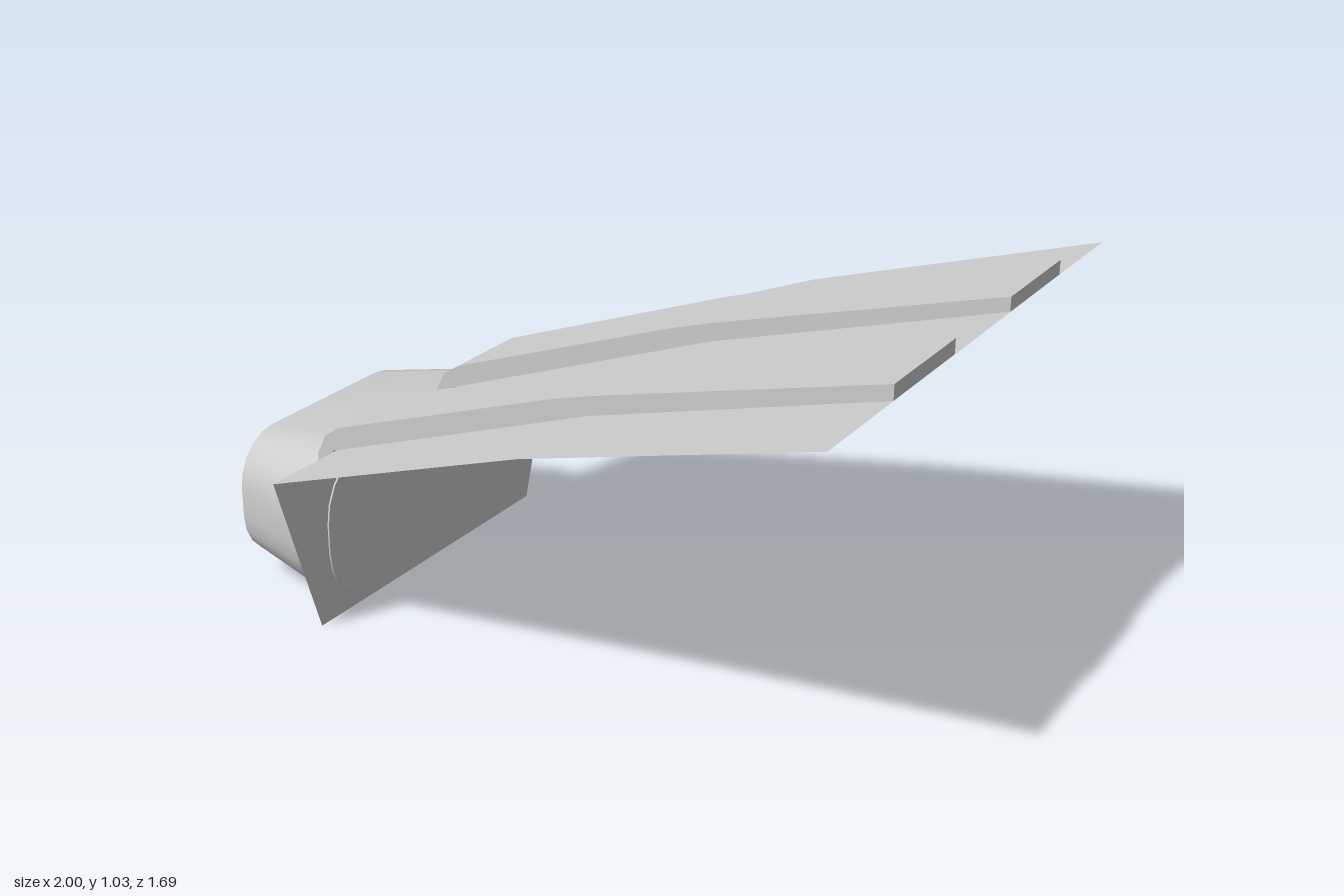
import * as THREE from 'three';
import { toCreasedNormals } from 'three/addons/utils/BufferGeometryUtils.js';

const material = new THREE.MeshStandardMaterial({ color: 0xcccccc });
const sheetMaterial = new THREE.MeshStandardMaterial({ color: 0xcccccc, side: THREE.DoubleSide });

// Rounded rectangle in the zy plane, as [z, y] offsets from its centre
function roundedRing(halfZ, halfY, r, steps = 5) {
  const points = [];
  for (let q = 0; q < 4; q++) {
    const sz = q === 0 || q === 3 ? 1 : -1;
    const sy = q < 2 ? 1 : -1;
    for (let i = 0; i <= steps; i++) {
      const a = (q + i / steps) * Math.PI / 2;
      points.push([sz * (halfZ - r) + r * Math.cos(a), sy * (halfY - r) + r * Math.sin(a)]);
    }
  }
  return points;
}

// Closed body from rounded sections [x, halfZ, halfY, radius]
function loft(sections, centreY) {
  const rings = sections.map(([x, hz, hy, r]) =>
    roundedRing(hz, hy, r).map(([z, y]) => [x, centreY + y, z]));
  const n = rings[0].length;
  const index = [];
  for (let i = 0; i < rings.length - 1; i++) {
    for (let j = 0; j < n; j++) {
      const k = (j + 1) % n;
      const a = i * n + j, b = i * n + k, c = a + n, d = b + n;
      index.push(a, b, c, b, d, c);
    }
  }
  const g = new THREE.BufferGeometry();
  g.setAttribute('position', new THREE.Float32BufferAttribute(rings.flat(2), 3));
  g.setIndex(index);
  return toCreasedNormals(g, 0.6);
}

// Thin sheet through straight rows [x, y, halfZ]
function sheet(rows) {
  const position = [], index = [];
  rows.forEach(([x, y, h], i) => {
    position.push(x, y, h, x, y, -h);
    if (i > 0) {
      const a = 2 * i - 2;
      index.push(a, a + 2, a + 1, a + 1, a + 2, a + 3);
    }
  });
  const g = new THREE.BufferGeometry();
  g.setAttribute('position', new THREE.Float32BufferAttribute(position, 3));
  g.setIndex(index);
  const flat = g.toNonIndexed();
  flat.computeVertexNormals();
  return flat;
}

// Raised rib: side profile extruded across z, widening towards the tip
function rib(side) {
  const profile = [
    [-0.645, 0], [-0.645, 0.481], [0.19, 0.771], [1, 0.991], [1, 1.03], [0.2, 0.825],
    [0.07, 0.787], [-0.62, 0.552], [-0.67, 0.52], [-0.7, 0.46], [-0.7, 0],
  ].map(([x, y]) => new THREE.Vector2(x, y));
  const g = new THREE.ExtrudeGeometry(new THREE.Shape(profile), { depth: 1, bevelEnabled: false });
  const p = g.attributes.position;
  for (let i = 0; i < p.count; i++) {
    const t = (p.getX(i) + 0.7) / 1.7;
    const inner = THREE.MathUtils.lerp(0.135, 0.173, t);
    const outer = THREE.MathUtils.lerp(0.407, 0.515, t);
    const from = side > 0 ? inner : -outer;
    p.setZ(i, from + (outer - inner) * p.getZ(i));
  }
  g.computeVertexNormals();
  return g;
}

export function createModel() {
  const model = new THREE.Group();
  model.name = 'scoopNozzle';
  const add = (name, geometry, mat = material) => {
    const mesh = new THREE.Mesh(geometry, mat);
    mesh.name = name;
    model.add(mesh);
  };

  // Sloping blade with one soft bend
  add('blade', sheet([[-0.64, 0.48, 0.665], [0.19, 0.77, 0.77], [1, 0.99, 0.843]]), sheetMaterial);

  // Upright trapezoid plate under the blade
  add('backPlate', sheet([[-0.64, 0, 0.505], [-0.64, 0.48, 0.665]]), sheetMaterial);

  // Hollow-ended socket, tapering towards its mouth
  add('socket', loft([
    [-0.635, 0, 0, 0],
    [-0.635, 0.458, 0.2225, 0.18],
    [-0.77, 0.458, 0.2225, 0.18],
    [-1, 0.385, 0.1875, 0.145],
    [-1, 0.32, 0.125, 0.085],
    [-0.9, 0.32, 0.125, 0.085],
    [-0.9, 0, 0, 0],
  ], 0.2375));

  // Pair of stiffening ribs running down behind the plate
  add('leftRib', rib(1));
  add('rightRib', rib(-1));

  return model;
}
